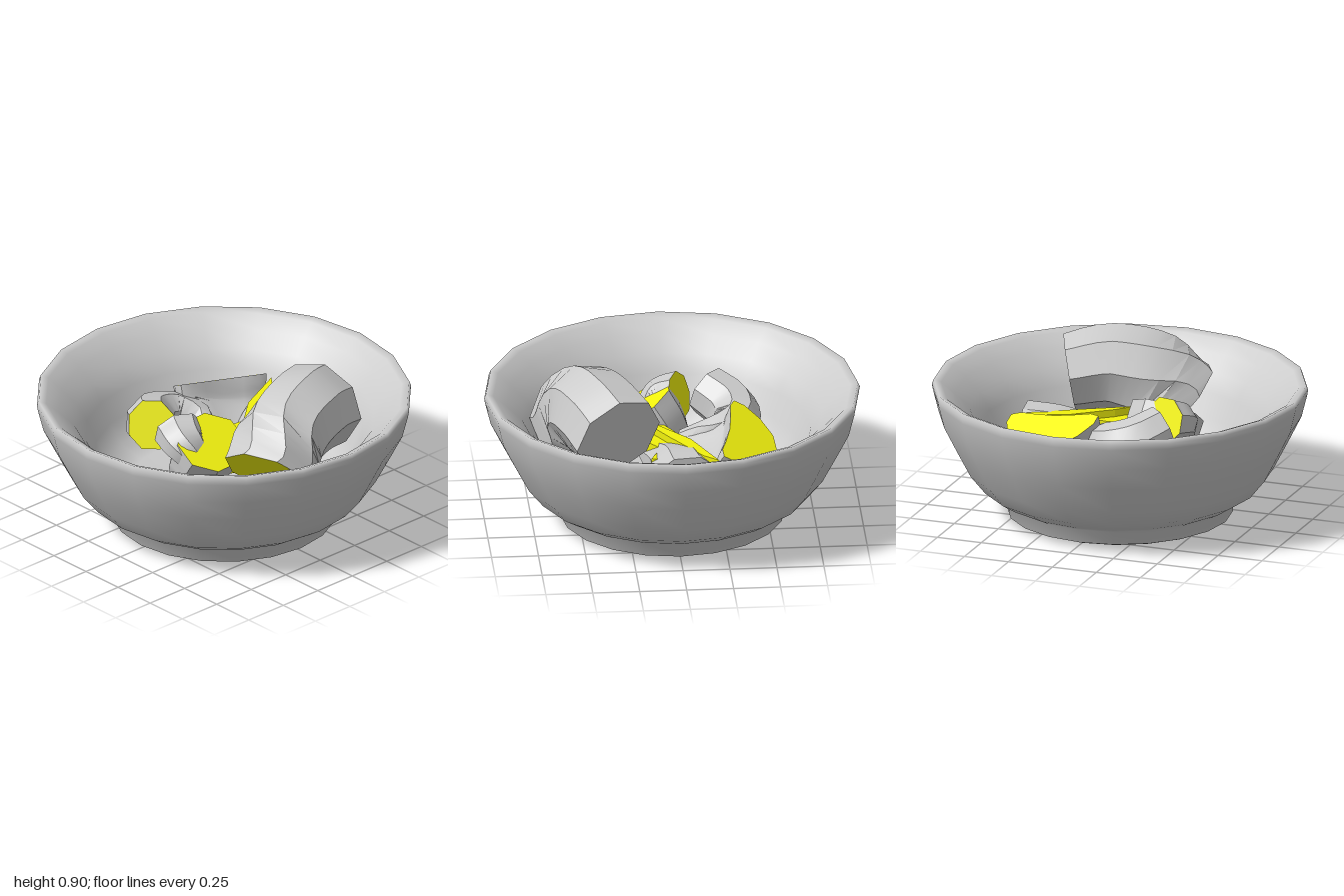
import * as THREE from 'three';
import { toCreasedNormals } from 'three/addons/utils/BufferGeometryUtils.js';

const GREY = 0xcccccc, YELLOW = 0xf2f20d;
const mat = (color) => new THREE.MeshStandardMaterial({ color });

function meshFrom(name, positions, index, color, crease) {
  let g = new THREE.BufferGeometry();
  g.setAttribute('position', new THREE.Float32BufferAttribute(positions, 3));
  g.setIndex(index);
  g = toCreasedNormals(g, crease);
  const m = new THREE.Mesh(g, mat(color));
  m.name = name;
  return m;
}

// Curved fruit piece: a many-sided section swept along a path, closed by cut faces.
// path: centres; size: [half width along ref, half depth] at each centre; bend makes a kidney section
function piece({ name, path, size, ref, caps, bend = 0, sides = 8, steps = 12 }) {
  const group = new THREE.Group();
  group.name = name;
  const curve = new THREE.CatmullRomCurve3(path.map((p) => new THREE.Vector3(...p)));
  const sizes = new THREE.CatmullRomCurve3(size.map(([a, b]) => new THREE.Vector3(a, b, 0)));
  const refV = new THREE.Vector3(...ref);
  const rings = [];
  for (let i = 0; i <= steps; i++) {
    const k = i / steps, c = curve.getPoint(k), t = curve.getTangent(k), s = sizes.getPoint(k);
    const u = refV.clone().addScaledVector(t, -refV.dot(t)).normalize();
    const v = new THREE.Vector3().crossVectors(t, u);
    const ring = [];
    for (let j = 0; j < sides; j++) {
      const a = ((j + 0.5) / sides) * Math.PI * 2;
      const along = s.x * Math.cos(a);
      const across = s.y * (Math.sin(a) + bend * (Math.cos(a) ** 2 - 0.4));
      ring.push(c.clone().addScaledVector(u, along).addScaledVector(v, across));
    }
    rings.push(ring);
  }

  // skin
  const flat = rings.flat().flatMap((p) => p.toArray());
  const index = [];
  for (let i = 0; i < steps; i++) {
    for (let j = 0; j < sides; j++) {
      const a = i * sides + j, b = i * sides + ((j + 1) % sides), c = a + sides, d = b + sides;
      index.push(a, b, c, b, d, c);
    }
  }
  group.add(meshFrom('skin', flat, index, GREY, 0.55));

  // cut faces
  [rings[0], rings[steps]].forEach((ring, end) => {
    const centre = ring.reduce((s, p) => s.add(p), new THREE.Vector3()).divideScalar(sides);
    const pos = [centre, ...ring].flatMap((p) => p.toArray());
    const idx = [];
    for (let j = 0; j < sides; j++) {
      const a = 1 + j, b = 1 + ((j + 1) % sides);
      if (end) idx.push(0, a, b);
      else idx.push(0, b, a);
    }
    group.add(meshFrom(end ? 'farCut' : 'nearCut', pos, idx, caps[end], 0.3));
  });
  return group;
}

export function createModel() {
  const model = new THREE.Group();
  model.name = 'bowlOfPieces';

  // Bowl: foot, flared wall, rim, inner slope, steep well and floor
  const profile = [
    [0, 0], [0.56, 0], [0.6, 0.015], [0.6, 0.085], [0.66, 0.115], [0.74, 0.165], [0.82, 0.265],
    [0.9, 0.42], [0.965, 0.55], [0.995, 0.67], [1, 0.7], [0.99, 0.725], [0.95, 0.71],
    [0.88, 0.65], [0.8, 0.57], [0.74, 0.48], [0.69, 0.36], [0.62, 0.25], [0.5, 0.19], [0, 0.17],
  ].map(([r, y]) => new THREE.Vector2(r, y));
  const bowl = new THREE.Mesh(new THREE.LatheGeometry(profile, 20), mat(GREY));
  bowl.name = 'bowl';
  model.add(bowl);

  // Pieces heaped inside the bowl
  const pieces = [
    {
      name: 'largePiece', ref: [0.3, 0.8, -0.5], caps: [GREY, YELLOW],
      path: [[0.317, 0.634, -0.407], [0.4, 0.67, -0.2], [0.46, 0.61, 0.02], [0.52, 0.48, 0.16]],
      size: [[0.21, 0.25], [0.23, 0.24], [0.25, 0.24], [0.24, 0.25]],
    },
    {
      name: 'backLeftPiece', ref: [-0.25, 0.3, 1], caps: [YELLOW, YELLOW], bend: -0.85, sides: 14,
      path: [[-0.37, 0.555, -0.27], [-0.31, 0.43, -0.24], [-0.13, 0.36, -0.14], [0.1, 0.34, 0.02]],
      size: [[0.28, 0.14], [0.25, 0.14], [0.16, 0.12], [0.05, 0.05]],
    },
    {
      name: 'backPiece', ref: [1, 0, 0.25], caps: [GREY, YELLOW],
      path: [[-0.04, 0.43, -0.53], [-0.01, 0.42, -0.36], [0.06, 0.39, -0.16], [0.15, 0.37, 0.02]],
      size: [[0.19, 0.13], [0.17, 0.13], [0.12, 0.1], [0.04, 0.05]],
    },
    {
      name: 'frontLeftPiece', ref: [-0.2, 1, -0.2], caps: [YELLOW, GREY],
      path: [[-0.21, 0.56, 0.33], [-0.33, 0.5, 0.21], [-0.34, 0.46, 0.07], [-0.22, 0.43, -0.01], [-0.05, 0.4, 0.04]],
      size: [[0.14, 0.13], [0.15, 0.14], [0.15, 0.13], [0.13, 0.09], [0.06, 0.05]],
    },
    {
      name: 'frontPiece', ref: [0, 0, 1], caps: [YELLOW, GREY],
      path: [[0.14, 0.55, 0.22], [0.08, 0.46, 0.21], [0.03, 0.36, 0.22], [0, 0.26, 0.24]],
      size: [[0.2, 0.18], [0.2, 0.17], [0.18, 0.15], [0.12, 0.1]],
    },
    {
      name: 'frontWedge', ref: [0.2, 1, 0], caps: [YELLOW, GREY],
      path: [[-0.06, 0.56, 0.27], [0.03, 0.53, 0.31], [0.1, 0.45, 0.3]],
      size: [[0.13, 0.14], [0.11, 0.12], [0.08, 0.08]],
    },
  ];
  pieces.forEach((p) => model.add(piece(p)));

  // Thin cut slices showing between the pieces: [name, outline in x and z, top]
  const slices = [
    ['longSlice', [[-0.21, -0.54], [-0.13, -0.47], [0.03, -0.22], [0.17, 0.02], [0.08, -0.06], [-0.08, -0.25]], 0.54],
    ['shortSlice', [[0.08, -0.42], [0.14, -0.4], [0.08, -0.27], [0.16, -0.17], [0.16, -0.02], [0.06, 0.06], [-0.01, -0.06], [0.01, -0.28]], 0.5],
  ];
  for (const [name, outline, top] of slices) {
    const shape = new THREE.Shape(outline.map(([x, z]) => new THREE.Vector2(x, -z)));
    const g = new THREE.ExtrudeGeometry(shape, { depth: 0.08, bevelEnabled: false });
    const slice = new THREE.Mesh(g.rotateX(-Math.PI / 2), mat(YELLOW));
    slice.position.y = top - 0.08;
    slice.name = name;
    model.add(slice);
  }
  return model;
}
